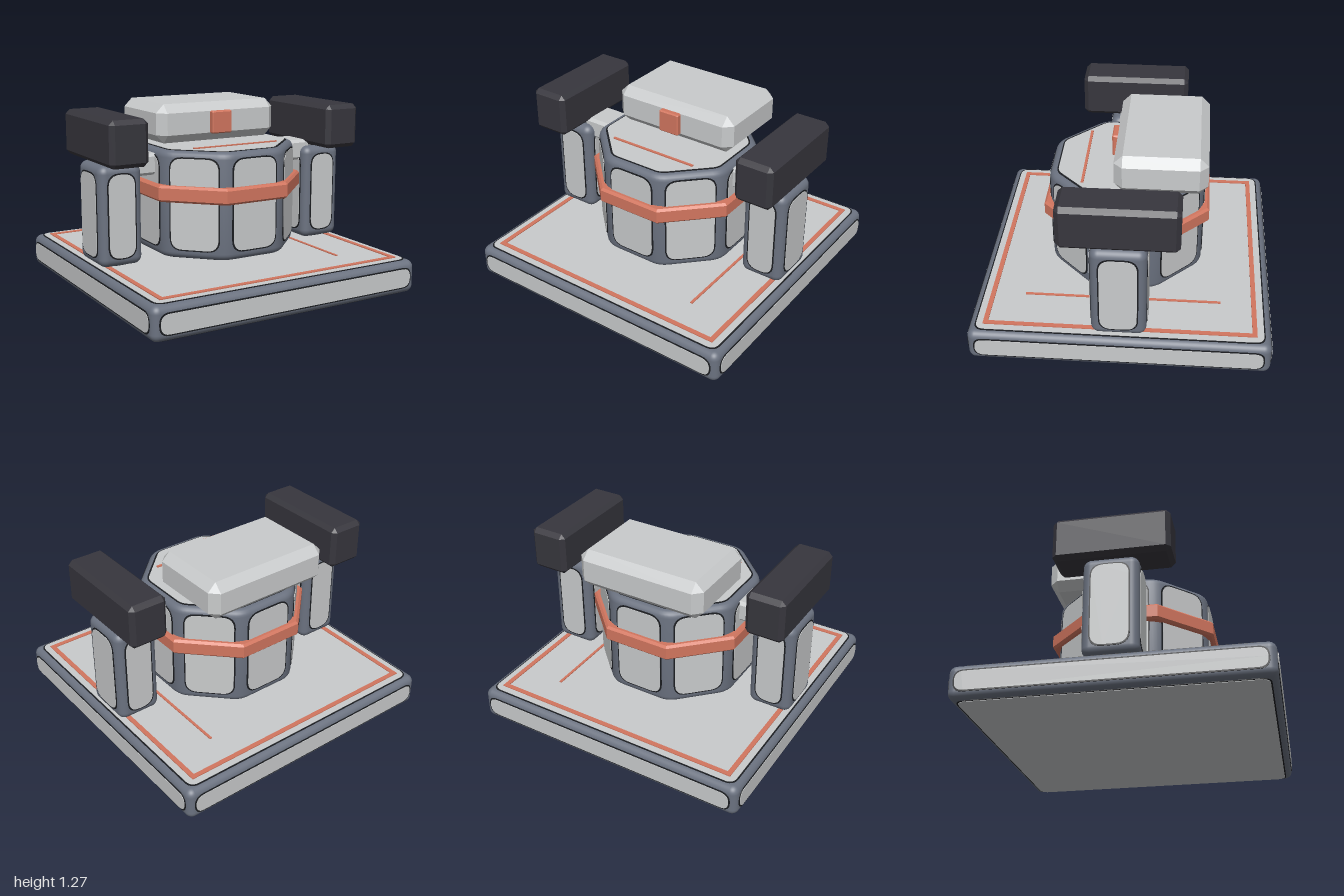
import * as THREE from 'three';
import { toCreasedNormals } from 'three/addons/utils/BufferGeometryUtils.js';
import { RoundedBoxGeometry } from 'three/addons/geometries/RoundedBoxGeometry.js';
import { ConvexGeometry } from 'three/addons/geometries/ConvexGeometry.js';

const material = (name, color) => {
  const m = new THREE.MeshStandardMaterial({ color });
  m.name = name;
  return m;
};

export function createModel() {
  const model = new THREE.Group();
  model.name = 'turretPlatform';
  const slate = material('slate frame', 0x6b7280);
  const light = material('light panel', 0xc9cbcc);
  const dark = material('dark weapon', 0x37363d);
  const seam = material('black seam', 0x1c1e22);
  const orange = material('orange trim', 0xd2765f);

  const add = (parent, name, geometry, mat, x = 0, y = 0, z = 0) => {
    const mesh = new THREE.Mesh(geometry, mat);
    mesh.name = name;
    mesh.position.set(x, y, z);
    parent.add(mesh);
    return mesh;
  };
  const group = (parent, name) => {
    const g = new THREE.Group();
    g.name = name;
    parent.add(g);
    return g;
  };

  // Outline with rounded corners through any convex loop of points
  const roundedShape = (pts, r) => {
    const shape = new THREE.Shape();
    pts.forEach((p, i) => {
      const a = pts[(i + pts.length - 1) % pts.length];
      const b = pts[(i + 1) % pts.length];
      const from = p.clone().add(a.clone().sub(p).setLength(r));
      const to = p.clone().add(b.clone().sub(p).setLength(r));
      if (i) shape.lineTo(from.x, from.y);
      else shape.moveTo(from.x, from.y);
      shape.quadraticCurveTo(p.x, p.y, to.x, to.y);
    });
    shape.closePath();
    return shape;
  };
  const rect = (w, h) => [[-1, -1], [1, -1], [1, 1], [-1, 1]]
    .map(([x, y]) => new THREE.Vector2(x * w / 2, y * h / 2));
  const octagon = (apothem) => Array.from({ length: 8 }, (_, i) => {
    const a = (i + 0.5) * Math.PI / 4, r = apothem / Math.cos(Math.PI / 8);
    return new THREE.Vector2(r * Math.cos(a), r * Math.sin(a));
  });
  const plate = (shape, depth) =>
    new THREE.ExtrudeGeometry(shape, { depth, bevelEnabled: false, curveSegments: 6 });

  // Thin panel with a black seam round it, facing +z of its own group
  const panel = (parent, name, points, r, out) => {
    const g = group(parent, name);
    add(g, 'panelFace', plate(roundedShape(points, r), 0.008), light, 0, 0, out - 0.002);
    const wide = points.map((p) => p.clone().add(
      new THREE.Vector2(Math.sign(p.x), Math.sign(p.y)).multiplyScalar(0.009)));
    add(g, 'panelSeam', plate(roundedShape(wide, r + 0.006), 0.006), seam, 0, 0, out - 0.003);
    return g;
  };

  // Box with all edges cut at 45 degrees
  const chamferBox = (w, h, d, c) => {
    const pts = [];
    for (const x of [-1, 1]) for (const y of [-1, 1]) for (const z of [-1, 1]) {
      const [X, Y, Z] = [w / 2, h / 2, d / 2];
      pts.push(new THREE.Vector3(x * X, y * (Y - c), z * (Z - c)),
        new THREE.Vector3(x * (X - c), y * Y, z * (Z - c)),
        new THREE.Vector3(x * (X - c), y * (Y - c), z * Z));
    }
    return new ConvexGeometry(pts);
  };

  // Rounded frame block with a panel on each of its six faces
  const panelledBlock = (parent, name, [w, h, d], r, margin, corner) => {
    const g = group(parent, name);
    add(g, 'frame', new RoundedBoxGeometry(w, h, d, 5, r), slate);
    for (let i = 0; i < 4; i++) {
      const [width, depth] = i % 2 ? [d, w] : [w, d];
      const p = panel(g, 'sidePanel', rect(width - 2 * margin, h - 2 * margin), corner, depth / 2);
      p.rotation.y = i * Math.PI / 2;
    }
    for (const s of [-1, 1]) {
      const p = panel(g, s > 0 ? 'topPanel' : 'bottomPanel',
        rect(w - 2 * margin, d - 2 * margin), corner, h / 2);
      p.rotation.x = -s * Math.PI / 2;
    }
    return g;
  };

  // Base slab
  const base = panelledBlock(model, 'base', [1.988, 0.226, 1.988], 0.05, 0.05, 0.06);
  base.position.y = 0.12;

  // Orange border and line on the deck
  const border = new THREE.Shape(rect(1.8, 1.8));
  border.holes.push(new THREE.Path(rect(1.736, 1.736).reverse()));
  add(model, 'deckBorder', plate(border, 0.008), orange, 0, 0.237, 0).rotation.x = -Math.PI / 2;
  add(model, 'deckLine', new THREE.BoxGeometry(0.018, 0.009, 1.325), orange, 0.58, 0.2405, 0);

  // Eight-sided turret body
  const turret = group(model, 'turret');
  const bodyGeo = toCreasedNormals(new THREE.ExtrudeGeometry(roundedShape(octagon(0.475), 0.05), {
    depth: 0.63, bevelThickness: 0.045, bevelSize: 0.045, bevelSegments: 5, curveSegments: 5,
  }), 0.6);
  add(turret, 'bodyFrame', bodyGeo, slate, 0, 0.32, 0).rotation.x = -Math.PI / 2;
  for (let i = 0; i < 8; i++) {
    panel(turret, 'bodyPanel', rect(0.325, 0.61), 0.08, 0.521).rotation.y = i * Math.PI / 4;
  }
  turret.children.filter((c) => c.name === 'bodyPanel').forEach((c) => { c.position.y = 0.645; });
  for (const s of [-1, 1]) {
    const cap = panel(turret, s > 0 ? 'topPanel' : 'bottomPanel', octagon(0.462), 0.04, 0.36);
    cap.rotation.x = -s * Math.PI / 2;
    cap.position.y = 0.635;
  }
  add(turret, 'topLine', new THREE.BoxGeometry(0.65, 0.009, 0.018), orange, 0, 1.004, 0.285);

  // Orange belt
  const belt = new THREE.Shape(octagon(0.545));
  belt.holes.push(new THREE.Path(octagon(0.5).reverse()));
  const beltGeo = new THREE.ExtrudeGeometry(belt, {
    depth: 0.08, bevelThickness: 0.015, bevelSize: 0.015, bevelSegments: 1,
  });
  add(turret, 'belt', beltGeo, orange, 0, 0.675, 0).rotation.x = -Math.PI / 2;

  // Head with a square eye
  const head = group(model, 'head');
  add(head, 'headShell', chamferBox(0.925, 0.265, 0.61, 0.058), light, 0, 1.14, -0.235);
  add(head, 'eye', chamferBox(0.155, 0.155, 0.06, 0.008), orange, 0, 1.138, 0.077);

  // Side pillars, arms and weapons
  for (const s of [-1, 1]) {
    const side = group(model, s > 0 ? 'leftMount' : 'rightMount');
    const pillar = panelledBlock(side, 'pillar', [0.305, 0.675, 0.36], 0.055, 0.06, 0.08);
    pillar.position.set(s * 0.8, 0.582, 0);
    add(side, 'arm', chamferBox(0.3, 0.145, 0.23, 0.02), light, s * 0.59, 0.892, 0);
    add(side, 'weapon', chamferBox(0.268, 0.305, 0.766, 0.03), dark, s * 0.825, 1.083, 0);
  }
  return model;
}
